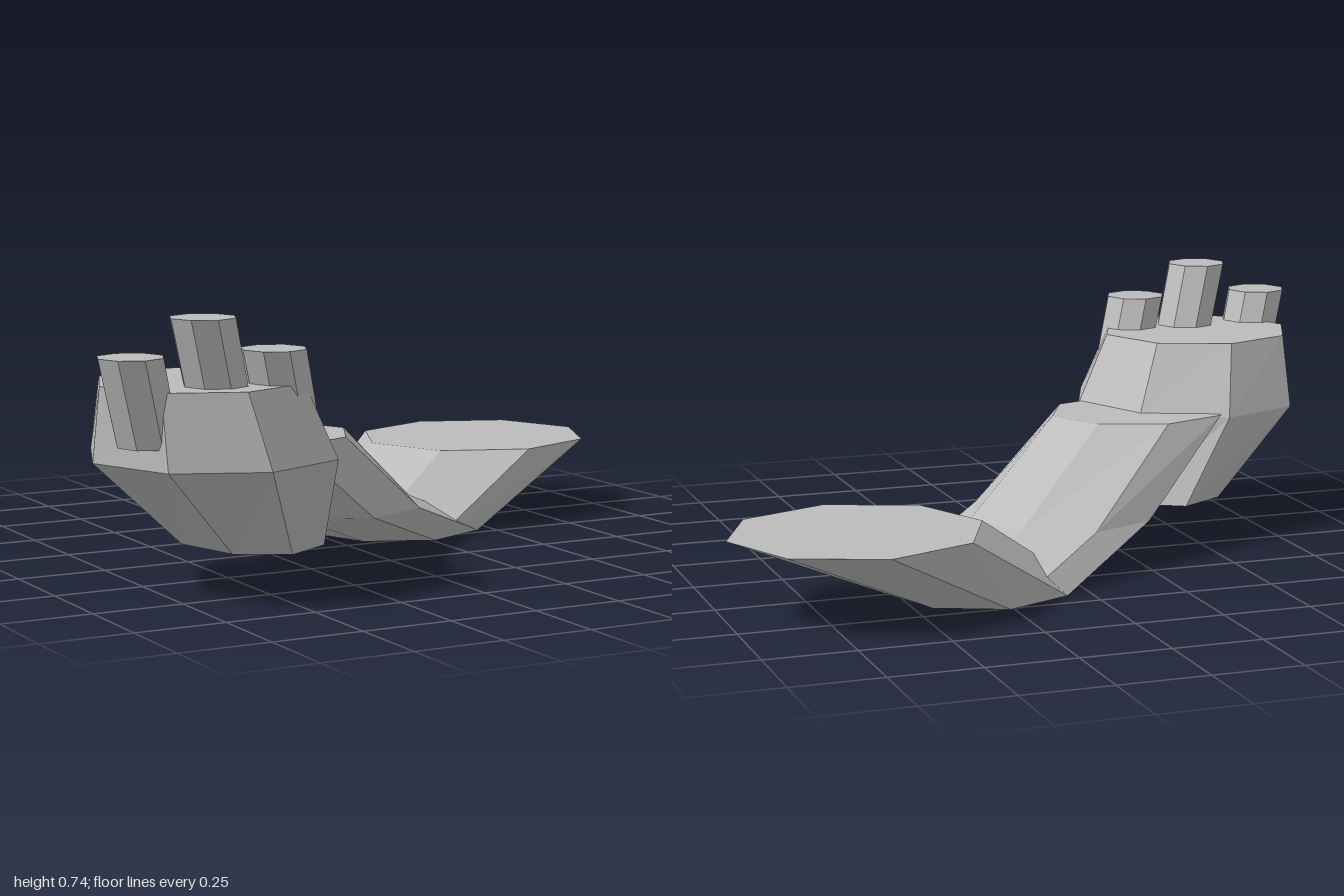
import * as THREE from 'three';

const SIDES = 8;

// Solid through level octagonal rings, listed bottom to top: [x, y, z, radiusX, radiusZ]
function loft(name, rings, material) {
  const pos = [];
  const point = ([x, y, z, rx, rz], i) => {
    const a = (i % SIDES) / SIDES * Math.PI * 2;
    return [x + rx * Math.cos(a), y, z + rz * Math.sin(a)];
  };
  const bottom = rings[0], top = rings[rings.length - 1];
  for (let i = 0; i < SIDES; i++) {
    for (let r = 0; r < rings.length - 1; r++) {
      const a = point(rings[r], i), b = point(rings[r], i + 1);
      const c = point(rings[r + 1], i), d = point(rings[r + 1], i + 1);
      pos.push(...a, ...c, ...b, ...b, ...c, ...d);
    }
    pos.push(...top.slice(0, 3), ...point(top, i + 1), ...point(top, i));
    pos.push(...bottom.slice(0, 3), ...point(bottom, i), ...point(bottom, i + 1));
  }
  const geometry = new THREE.BufferGeometry();
  geometry.setAttribute('position', new THREE.Float32BufferAttribute(pos, 3));
  geometry.computeVertexNormals();
  const mesh = new THREE.Mesh(geometry, material);
  mesh.name = name;
  return mesh;
}

export function createModel() {
  const group = new THREE.Group();
  group.name = 'arm';
  const grey = new THREE.MeshStandardMaterial({ color: 0xbbbbbb, flatShading: true });
  grey.name = 'plain grey';

  // Upper arm and forearm meet at the elbow ring
  const elbow = [0.26, 0, -0.23, 0.27, 0.28];
  group.add(loft('upperArm', [elbow, [0.65, 0.22, -0.395, 0.35, 0.325]], grey));
  group.add(loft('forearm', [elbow, [-0.07, 0.13, 0, 0.27, 0.28], [-0.38, 0.37, 0.18, 0.27, 0.225]], grey));

  // Palm: narrow wrist, wide middle, flat top
  group.add(loft('hand', [
    [-0.46, 0.11, 0.28, 0.19, 0.27],
    [-0.6, 0.36, 0.37, 0.34, 0.345],
    [-0.645, 0.56, 0.395, 0.285, 0.275],
  ], grey));

  // Three slanted fingers, the middle one taller
  const fingers = new THREE.Group();
  fingers.name = 'fingers';
  [[-0.91, 0.65], [-0.71, 0.74], [-0.51, 0.65]].forEach(([x, y], i) => {
    const drop = y - 0.415;
    fingers.add(loft('finger' + (i + 1), [
      [x + drop * 0.29, 0.415, 0.545 - drop * 0.2, 0.085, 0.09],
      [x, y, 0.545, 0.088, 0.09],
    ], grey));
  });
  group.add(fingers);
  return group;
}
